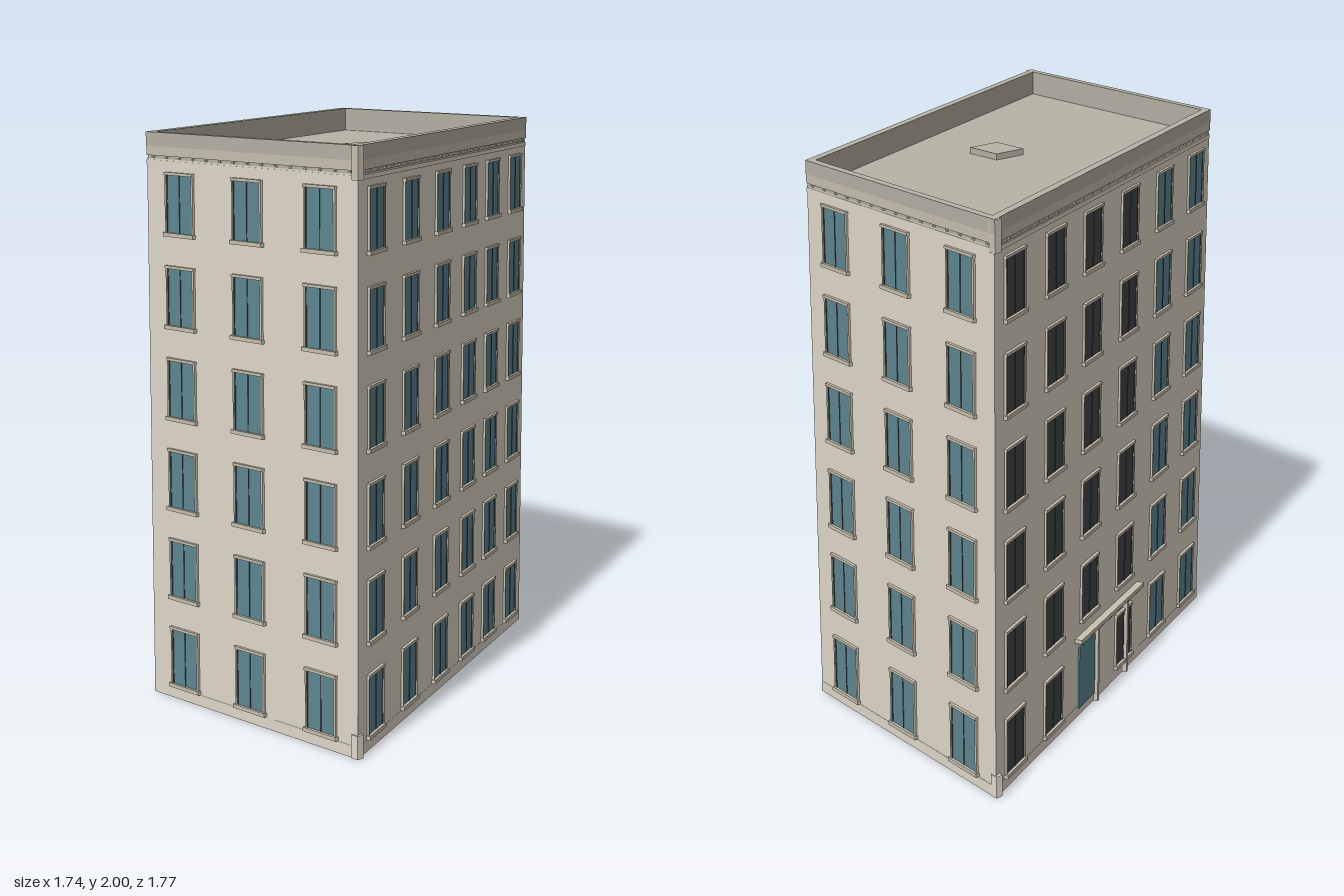
import * as THREE from 'three';

const mat = (color, side = THREE.FrontSide) => new THREE.MeshStandardMaterial({ color, side });
const WALL = mat(0xe2dccc, THREE.DoubleSide), TRIM = mat(0xcac2b2), ROOF = mat(0xb7b3a6);
const GLASS = mat(0x5f8893), DARK = mat(0x45474a);

// footprint corners (x, z), counter-clockwise seen from above
const CORNERS = [[-0.174, 0.829], [0.866, 0.872], [0.167, -0.813], [-0.866, -0.876]];
const FLOORS = 6, PITCH = 0.321, HEIGHT = 1.91;
const UNIT = new THREE.BoxGeometry(1, 1, 1);

function box(name, material, w, h, d, x, y, z) {
  const m = new THREE.Mesh(UNIT, material);
  m.name = name;
  m.scale.set(w, h, d);
  m.position.set(x, y, z);
  return m;
}

// footprint moved outward by d with mitred corners, in shape space (x, -z)
function outline(d) {
  const p = CORNERS.map(([x, z]) => new THREE.Vector2(x, -z));
  return p.map((c, i) => {
    const a = c.clone().sub(p[(i + 3) % 4]).normalize();
    const b = p[(i + 1) % 4].clone().sub(c).normalize();
    const n1 = new THREE.Vector2(a.y, -a.x), n2 = new THREE.Vector2(b.y, -b.x);
    return c.clone().add(n1.clone().add(n2).multiplyScalar(d / (1 + n1.dot(n2))));
  });
}

// horizontal slab or ring following the footprint
function ring(name, material, outer, inner, y0, y1) {
  const shape = new THREE.Shape(outline(outer));
  if (inner !== null) shape.holes.push(new THREE.Path(outline(inner).reverse()));
  const g = new THREE.ExtrudeGeometry(shape, { depth: y1 - y0, bevelEnabled: false });
  g.rotateX(-Math.PI / 2);
  const m = new THREE.Mesh(g, material);
  m.name = name;
  m.position.y = y0;
  return m;
}

// window: x is the centre along the wall, y the sill level
function makeWindow(x, y, glass) {
  const g = new THREE.Group();
  g.name = 'window';
  const w = 0.14, h = 0.205;
  g.add(box('pane', glass, w, h, 0.004, 0, h / 2, 0.002));
  g.add(box('backing', DARK, w, h, 0.004, 0, h / 2, -0.002));
  for (const s of [-1, 1]) {
    g.add(box('frameSide', TRIM, 0.007, h, 0.01, s * (w / 2), h / 2, 0.003));
    g.add(box('sash', DARK, 0.004, h, 0.008, s * (w / 2 - 0.006), h / 2, 0.002));
  }
  g.add(box('mullion', DARK, 0.004, h, 0.008, 0, h / 2, 0.002));
  g.add(box('lintel', TRIM, w + 0.01, 0.01, 0.016, 0, h, 0.003));
  g.add(box('sill', TRIM, w + 0.018, 0.014, 0.02, 0, -0.004, 0.004));
  g.position.set(x, y, 0);
  return g;
}

// window centres as fractions of each wall
const FACADES = [
  { name: 'frontWall', cols: [0.168, 0.499, 0.836] },
  { name: 'leftWall', cols: [0.087, 0.271, 0.452, 0.618, 0.767, 0.921] },
  { name: 'backWall', cols: [0.162, 0.499, 0.836] },
  { name: 'rightWall', cols: [0.077, 0.245, 0.41, 0.583, 0.757, 0.925], entrance: true },
];

function makeFacade({ name, cols, entrance }, i) {
  const [ax, az] = CORNERS[i], [bx, bz] = CORNERS[(i + 1) % 4];
  const len = Math.hypot(bx - ax, bz - az);
  const g = new THREE.Group();
  g.name = name;
  // local x runs along the wall, local z points outward
  g.position.set(ax, 0, az);
  g.rotation.y = Math.atan2(az - bz, bx - ax);

  const wall = new THREE.Mesh(new THREE.PlaneGeometry(len, HEIGHT), WALL);
  wall.name = 'wallSurface';
  wall.position.set(len / 2, HEIGHT / 2, 0);
  g.add(wall);

  cols.forEach((t, c) => {
    for (let f = 0; f < FLOORS; f++) {
      if (entrance && f === 0 && c === 2) continue;
      g.add(makeWindow(t * len, 0.052 + f * PITCH, entrance && c < 4 ? DARK : GLASS));
    }
  });

  // small blocks below the cornice
  const count = Math.round(len / 0.07);
  for (let k = 0; k < count; k++) {
    g.add(box('dentil', WALL, 0.01, 0.006, 0.006, ((k + 0.5) / count) * len, 1.915, 0.001));
  }

  // entrance door with canopy on two posts
  if (entrance) {
    g.add(box('door', GLASS, 0.17, 0.24, 0.006, 0.41 * len, 0.15, 0.003));
    g.add(box('doorBacking', DARK, 0.17, 0.24, 0.004, 0.41 * len, 0.15, -0.002));
    g.add(box('canopy', TRIM, 0.57, 0.016, 0.05, 0.503 * len, 0.307, 0.002));
    g.add(box('canopyBeam', TRIM, 0.54, 0.01, 0.04, 0.503 * len, 0.295, 0));
    for (const t of [0.442, 0.588]) {
      g.add(box('canopyPost', TRIM, 0.014, 0.3, 0.036, t * len, 0.15, 0));
    }
  }
  return g;
}

export function createModel() {
  const model = new THREE.Group();
  model.name = 'apartmentBuilding';
  FACADES.forEach((f, i) => model.add(makeFacade(f, i)));

  // base band, cornice and parapet, almost flush with the walls
  model.add(ring('plinth', WALL, 0.001, -0.006, 0, 0.04));
  model.add(ring('corniceLower', WALL, 0.002, -0.01, 1.89, 1.905));
  model.add(ring('corniceUpper', TRIM, 0.002, -0.01, 1.92, 1.952));
  model.add(ring('parapet', ROOF, 0.003, -0.027, 1.952, 2));
  model.add(ring('parapetInside', ROOF, -0.002, -0.027, 1.9, 1.953));

  // blocks at the two sharp corners, at the base and the parapet
  for (const s of [-1, 1]) {
    model.add(box('cornerBlockTop', TRIM, 0.028, 0.109, 0.028, s * 0.857, 1.945, s * 0.864));
    model.add(box('cornerBlockBase', WALL, 0.028, 0.08, 0.028, s * 0.857, 0.04, s * 0.864));
  }

  // flat roof and hatch
  model.add(ring('roof', ROOF, -0.002, null, 1.89, HEIGHT));
  model.add(box('roofHatch', ROOF, 0.145, 0.025, 0.13, 0.097, 1.92, -0.005));
  return model;
}
